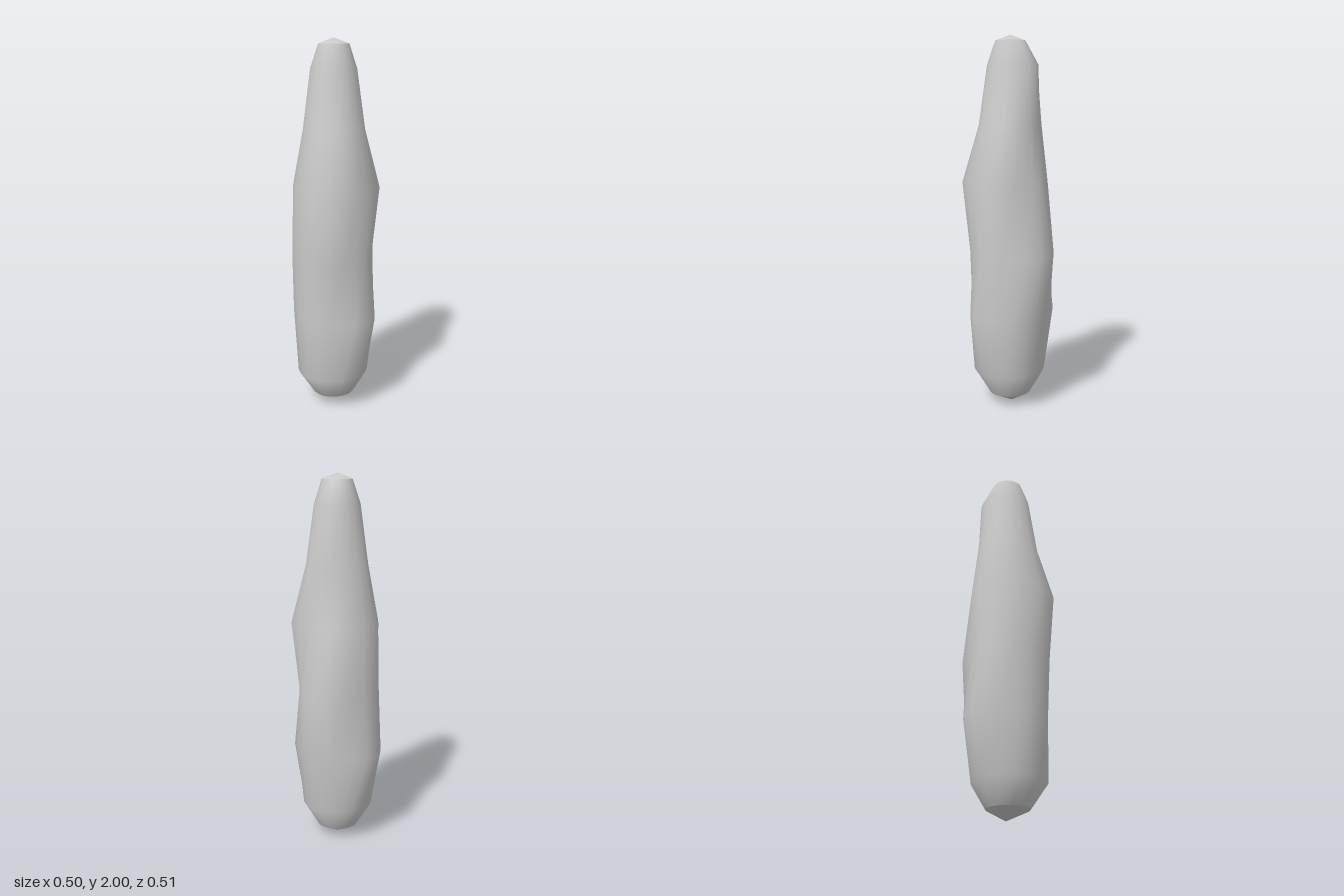
import * as THREE from 'three';

const SIDES = 20;

// Each ring: height, then radii at 18, 54, 90 ... 342 degrees (from +x towards +z)
const RINGS = [
  [0.055, [0.117, 0.12, 0.125, 0.12, 0.115, 0.11, 0.104, 0.1, 0.104, 0.11]],
  [0.185, [0.195, 0.205, 0.22, 0.21, 0.195, 0.19, 0.18, 0.175, 0.18, 0.188]],
  [0.51, [0.26, 0.215, 0.225, 0.225, 0.225, 0.262, 0.225, 0.205, 0.205, 0.22]],
  [0.85, [0.22, 0.225, 0.24, 0.23, 0.23, 0.215, 0.21, 0.257, 0.235, 0.205]],
  [1.225, [0.237, 0.265, 0.257, 0.226, 0.222, 0.222, 0.195, 0.18, 0.19, 0.245]],
  [1.53, [0.168, 0.175, 0.18, 0.17, 0.165, 0.165, 0.16, 0.155, 0.155, 0.165]],
  [1.845, [0.122, 0.13, 0.135, 0.13, 0.122, 0.12, 0.135, 0.15, 0.13, 0.12]],
  [1.97, [0.083, 0.086, 0.09, 0.086, 0.08, 0.077, 0.073, 0.07, 0.073, 0.08]],
];

// Closed smooth interpolation of the ring radii, one point per side
function ringPoints([y, radii]) {
  const n = radii.length;
  const at = (k) => radii[(k + n) % n];
  return Array.from({ length: SIDES }, (_, j) => {
    const k = Math.floor(j / 2);
    const r = j % 2 === 0 ? at(k)
      : (9 * (at(k) + at(k + 1)) - at(k - 1) - at(k + 2)) / 16;
    const a = (j + 1) * Math.PI * 2 / SIDES;
    return [r * Math.cos(a), y, r * Math.sin(a)];
  });
}

function makeMesh(name, points, index, material) {
  const geometry = new THREE.BufferGeometry();
  geometry.setAttribute('position', new THREE.Float32BufferAttribute(points.flat(), 3));
  geometry.setIndex(index);
  geometry.computeVertexNormals();
  const mesh = new THREE.Mesh(geometry, material);
  mesh.name = name;
  return mesh;
}

// Shallow cone closing one end of the body
function makeCap(name, ring, apex, up, material) {
  const index = [];
  for (let j = 0; j < SIDES; j++) {
    const next = (j + 1) % SIDES;
    index.push(SIDES, up ? next : j, up ? j : next);
  }
  return makeMesh(name, [...ring, apex], index, material);
}

export function createModel() {
  const group = new THREE.Group();
  group.name = 'taperedRock';
  const material = new THREE.MeshStandardMaterial({ color: 0xcccccc });
  const rings = RINGS.map(ringPoints);

  // Smooth lumpy body skinned between the rings
  const index = [];
  for (let i = 0; i < rings.length - 1; i++) {
    for (let j = 0; j < SIDES; j++) {
      const next = (j + 1) % SIDES;
      const a = i * SIDES + j, b = a + SIDES;
      const c = i * SIDES + next, d = c + SIDES;
      index.push(a, b, c, b, d, c);
    }
  }
  group.add(makeMesh('body', rings.flat(), index, material));

  // End caps keep a crisp rim
  group.add(makeCap('bottomCap', rings[0], [0, 0, 0], false, material));
  group.add(makeCap('topCap', rings[rings.length - 1], [0, 2, 0.01], true, material));
  return group;
}
